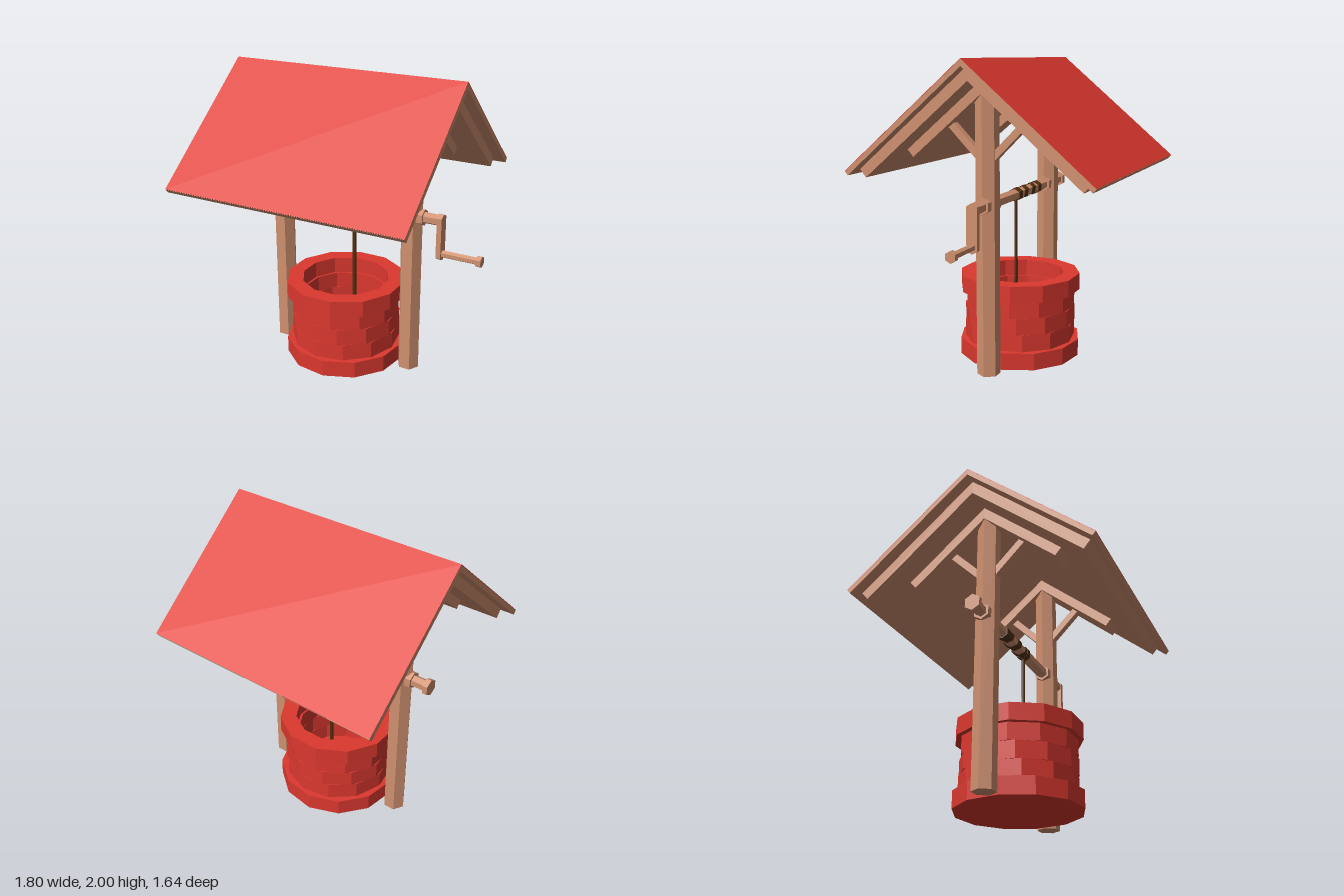
import * as THREE from 'three';

const material = (color, extra = {}) =>
  new THREE.MeshStandardMaterial({ color, flatShading: true, ...extra });

export function createModel() {
  const model = new THREE.Group();
  const wood = material(0xd0906f);
  const red = material(0xdb382f);
  const ropeMat = material(0x55300f, { side: THREE.DoubleSide });
  const CX = -0.08; // centre of the well shaft
  const POSTS = [-0.567, 0.41];
  const PITCH = Math.atan2(0.688, 0.82);

  const add = (name, geometry, mat) => {
    const mesh = new THREE.Mesh(geometry, mat);
    mesh.name = name;
    model.add(mesh);
    return mesh;
  };

  // Hexagonal bar along x, with a corner pointing up
  const hexBar = (name, x0, x1, y, r) => {
    const g = new THREE.CylinderGeometry(r, r, x1 - x0, 6);
    g.rotateY(Math.PI / 6).rotateZ(Math.PI / 2).translate((x0 + x1) / 2, y, 0);
    return add(name, g, wood);
  };

  // Gable-shaped layer: two sloping boards meeting at the ridge
  const gable = (name, ridgeY, length, thick, x0, x1, mat) => {
    const c = Math.cos(PITCH), s = Math.sin(PITCH);
    const z = length * c, y = ridgeY - length * s;
    const shape = new THREE.Shape([
      [0, ridgeY], [-z, y], [-z + thick * s, y - thick * c],
      [0, ridgeY - thick / c],
      [z - thick * s, y - thick * c], [z, y],
    ].map(p => new THREE.Vector2(...p)));
    const g = new THREE.ExtrudeGeometry(shape, { depth: x1 - x0, bevelEnabled: false });
    return add(name, g.rotateY(Math.PI / 2).translate(x0, 0, 0), mat);
  };

  // Brick courses: twelve-sided rings, each turned a little (outer, inner, degrees)
  const courses = [
    [0.413, 0, 7], [0.376, 0.285, -4], [0.376, 0.285, 20],
    [0.376, 0.285, 13], [0.409, 0.3, 15],
  ];
  const H = 0.1125;
  courses.forEach(([outer, inner, turn], i) => {
    const y = i * H;
    const profile = [[inner, y], [outer, y], [outer, y + H], [inner, y + H]];
    if (inner) profile.push([inner, y]);
    const g = new THREE.LatheGeometry(profile.map(p => new THREE.Vector2(...p)),
      12, THREE.MathUtils.degToRad(turn));
    add(i === 0 ? 'wellBase' : i === 4 ? 'wellRim' : 'brickCourse', g.translate(CX, 0, 0), red);
  });

  // Posts with rafters, axle collars and diagonal braces
  for (const x of POSTS) {
    const post = new THREE.CylinderGeometry(0.075, 0.075, 1.8, 6);
    add('post', post.rotateY(Math.PI / 6).translate(x, 0.9, 0), wood);
    gable('rafter', 1.87, 0.68, 0.061, x - 0.08, x + 0.08, wood);
    hexBar('axleCollar', x - 0.09, x + 0.09, 1.105, 0.055);
    for (const side of [-1, 1]) {
      const brace = add('brace', new THREE.BoxGeometry(0.05, 0.36, 0.046), wood);
      brace.position.set(x, 1.505, side * 0.15);
      brace.rotation.x = side * Math.PI / 4;
    }
  }

  // Roof: ceiling boards, outer boards and the red covering on top
  gable('ceilingBoards', 1.956, 0.995, 0.066, -0.82, 0.667, wood);
  gable('roofBoards', 1.996, 1.07, 0.031, -0.9, 0.745, wood);
  gable('roofCovering', 2.0, 1.071, 0.003, -0.9, 0.745, red);

  // Axle and crank
  hexBar('axle', -0.77, 0.62, 1.105, 0.038);
  hexBar('axleEndCap', -0.78, -0.747, 1.105, 0.055);
  const arm = new THREE.Shape([
    [0, 1.15], [-0.037, 1.128], [-0.037, 0.857],
    [0, 0.835], [0.037, 0.857], [0.037, 1.128],
  ].map(p => new THREE.Vector2(...p)));
  const armGeo = new THREE.ExtrudeGeometry(arm, { depth: 0.033, bevelEnabled: false });
  add('crankArm', armGeo.rotateY(Math.PI / 2).translate(0.597, 0, 0), wood);
  hexBar('crankHandle', 0.62, 0.88, 0.88, 0.025);
  hexBar('crankKnob', 0.864, 0.897, 0.88, 0.038);

  // Rope wound on the axle: two end loops and a helical band between them
  for (const x of [-0.335, -0.012]) {
    const loop = new THREE.CylinderGeometry(0.046, 0.046, 0.05, 6);
    loop.rotateY(Math.PI / 6).rotateZ(Math.PI / 2).translate(x, 1.105, 0);
    add('ropeLoop', loop, ropeMat);
  }
  const STEPS = 15; // six per turn, following the corners of the axle
  const corners = [], faces = [];
  for (let i = 0; i <= STEPS; i++) {
    const a = -Math.PI / 2 + i * Math.PI / 3;
    const x = -0.345 + 0.31 * i / STEPS;
    for (const dx of [0, 0.06]) {
      corners.push(x + dx, 1.105 + 0.045 * Math.sin(a), 0.045 * Math.cos(a));
    }
    const k = 2 * i;
    if (i < STEPS) faces.push(k, k + 1, k + 3, k, k + 3, k + 2);
  }
  const band = new THREE.BufferGeometry();
  band.setAttribute('position', new THREE.Float32BufferAttribute(corners, 3));
  band.setIndex(faces);
  band.computeVertexNormals();
  add('ropeWinding', band, ropeMat);

  // Rope hanging into the shaft
  const rope = new THREE.CylinderGeometry(0.012, 0.014, 1.0, 6);
  add('hangingRope', rope.translate(-0.012, 0.61, 0), ropeMat);

  return model;
}
